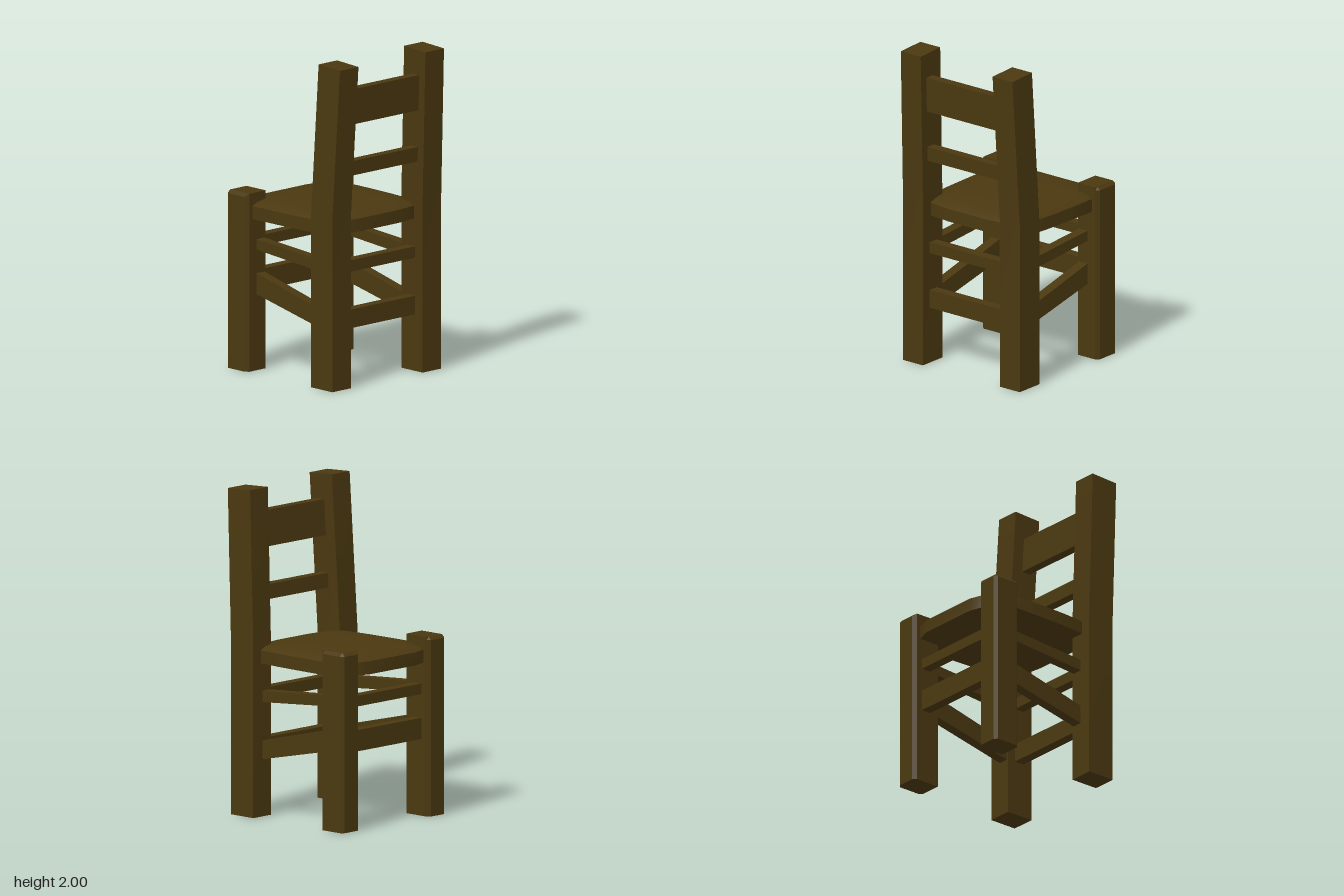
import * as THREE from 'three';
import { toCreasedNormals } from 'three/addons/utils/BufferGeometryUtils.js';

const wood = new THREE.MeshStandardMaterial({ color: 0x4a3810 });

// Closed solid through rings of [x, y, z], each counter-clockwise seen from above, bottom to top
function loft(name, rings) {
  const pos = [];
  const tri = (a, b, c) => pos.push(...a, ...b, ...c);
  const n = rings[0].length;
  const centre = (r) => [0, 1, 2].map((k) => r.reduce((s, p) => s + p[k], 0) / n);
  const low = rings[0], high = rings[rings.length - 1];
  const lowC = centre(low), highC = centre(high);
  for (let i = 0; i < n; i++) {
    const j = (i + 1) % n;
    for (let k = 0; k + 1 < rings.length; k++) {
      const a = rings[k], b = rings[k + 1];
      tri(a[i], a[j], b[j]);
      tri(a[i], b[j], b[i]);
    }
    tri(low[j], low[i], lowC);
    tri(high[i], high[j], highC);
  }
  const geo = new THREE.BufferGeometry();
  geo.setAttribute('position', new THREE.Float32BufferAttribute(pos, 3));
  const mesh = new THREE.Mesh(toCreasedNormals(geo, 0.5), wood);
  mesh.name = name;
  return mesh;
}

// Rectangular ring; y may be a function of z
function rect(x0, x1, z0, z1, y) {
  const h = typeof y === 'function' ? y : () => y;
  return [[x1, h(z1), z1], [x1, h(z0), z0], [x0, h(z0), z0], [x0, h(z1), z1]];
}

const mirror = (rings) => rings.map((r) => r.map(([x, y, z]) => [-x, y, z]).reverse());

export function createModel() {
  const chair = new THREE.Group();
  chair.name = 'chair';
  const addPair = (name, rings) => {
    chair.add(loft('left' + name, rings), loft('right' + name, mirror(rings)));
  };

  // Tall posts: straight to seat height, then leaning out and inward
  addPair('TallPost', [
    rect(0.3, 0.455, 0.255, 0.44, 0),
    rect(0.3, 0.455, 0.255, 0.44, 1.06),
    rect(0.28, 0.435, 0.3, 0.485, (z) => (z > 0.4 ? 1.99 : 2)),
  ]);

  // Short posts with chamfered outer corners and top edges
  const c = 0.02;
  const shortRing = (y, inset) => {
    const X = 0.455 - inset, Z = -0.485 + inset, cut = c - inset;
    return [
      [X - cut, y, -0.3], [X, y, -0.3 - c], [X, y, Z + cut], [X - cut, y, Z],
      [0.3 + c, y, Z], [0.3, y, Z + cut], [0.3, y, -0.3],
    ];
  };
  addPair('ShortPost', [shortRing(0, 0), shortRing(1.08, 0), shortRing(1.1, c * 0.98)]);

  // Domed seat with a crisp rim
  const half = [
    [0.2, -0.47], [0.3, -0.44], [0.375, -0.38], [0.41, -0.3], [0.409, -0.1],
    [0.403, 0.1], [0.39, 0.25], [0.36, 0.33], [0.3, 0.365], [0.15, 0.385],
  ];
  const outline = [
    ...half.slice().reverse(),
    ...half.map(([x, z]) => [-x, z]),
  ];
  const seatRing = (s, y) => outline.map(([x, z]) => [x * s, y, (z + 0.04) * s - 0.04]);
  chair.add(loft('seat', [
    seatRing(1, 0.94), seatRing(1, 1.02), seatRing(0.93, 1.037),
    seatRing(0.8, 1.05), seatRing(0.5, 1.058), seatRing(0.05, 1.06),
  ]));

  // Backrest slats, leaning with the tall posts
  const slat = (name, y0, y1) => {
    const ring = (y) => {
      const z = 0.33 + (y - 1.06) * 0.048;
      return rect(-0.32, 0.32, z, z + 0.06, y);
    };
    chair.add(loft(name, [ring(y0), ring(y1)]));
  };
  slat('topSlat', 1.62, 1.84);
  slat('lowerSlat', 1.3, 1.39);

  // Stretchers: level between matching posts, sloping along the sides
  const stretchers = [
    { name: 'Upper', tall: [0.7, 0.77], short: [0.745, 0.81] },
    { name: 'Lower', tall: [0.35, 0.465], short: [0.47, 0.6] },
  ];
  for (const { name, tall, short } of stretchers) {
    chair.add(
      loft('tallPost' + name + 'Stretcher', tall.map((y) => rect(-0.32, 0.32, 0.31, 0.375, y))),
      loft('shortPost' + name + 'Stretcher', short.map((y) => rect(-0.32, 0.32, -0.425, -0.36, y))),
    );
    addPair(name + 'SideStretcher', [0, 1].map((k) =>
      rect(0.31, 0.375, -0.32, 0.275, (z) => tall[k] + (short[k] - tall[k]) * (0.255 - z) / 0.555)));
  }
  return chair;
}
